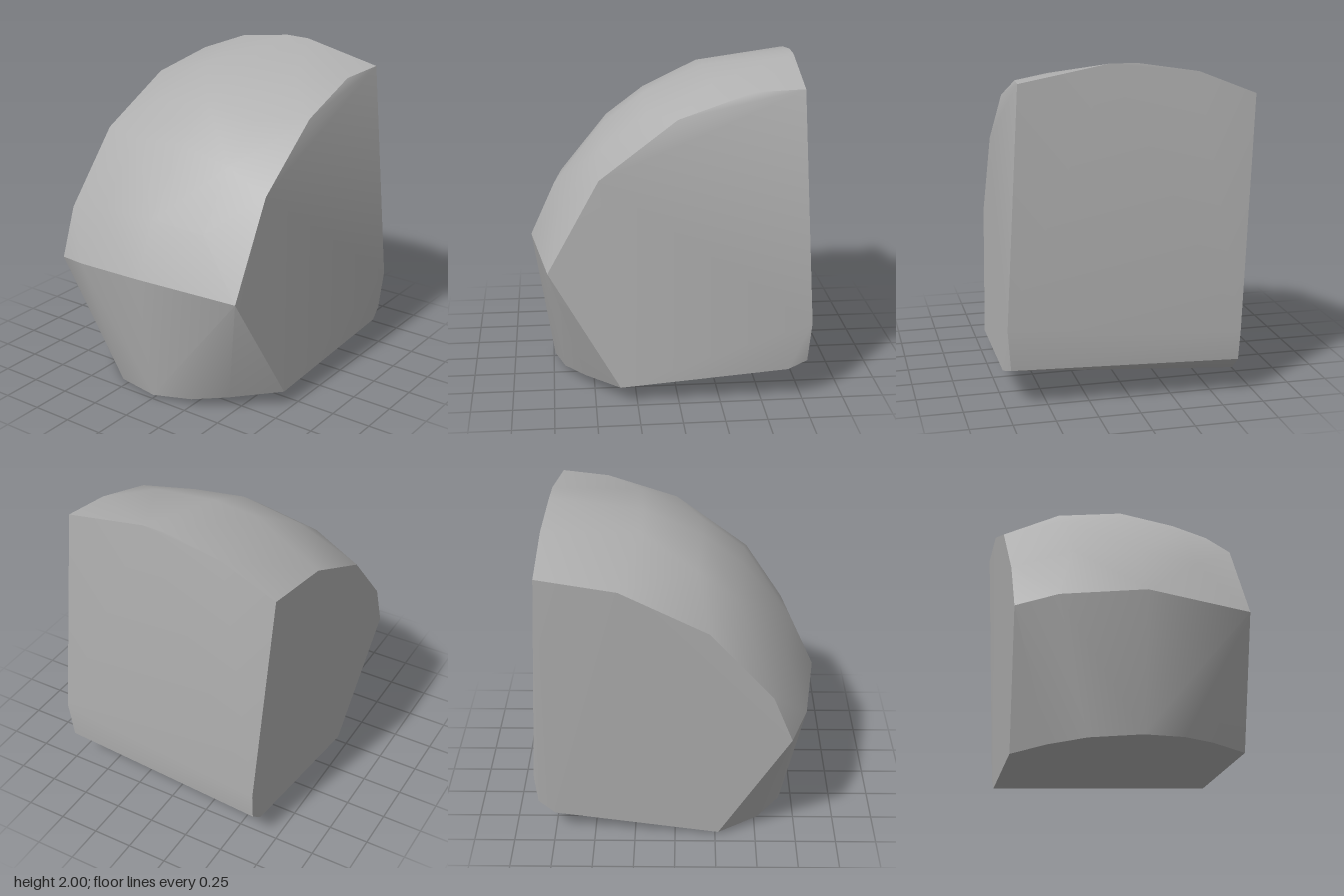
import * as THREE from 'three';
import { ConvexGeometry } from 'three/addons/geometries/ConvexGeometry.js';
import { toCreasedNormals } from 'three/addons/utils/BufferGeometryUtils.js';

const v = (p) => new THREE.Vector3(...p);

export function createModel() {
  const group = new THREE.Group();
  group.name = 'rock';
  const stone = new THREE.MeshStandardMaterial({ color: 0xb0b0b0 });
  stone.name = 'stone grey';

  // Outline of the flat +x side
  const rightSide = [
    [0.65, 1.9, -0.73], [0.615, 1.88, -0.44], [0.625, 1.73, 0], [0.632, 1.38, 0.46],
    [0.64, 0.82, 0.77], [0.71, 0.1, 0.35], [0.75, 0.2, -0.66], [0.74, 0.49, -0.8],
  ];
  // Outline of the flat -x side
  const leftSide = [
    [-0.73, 1.81, -0.79], [-0.748, 1.74, -0.32], [-0.757, 1.48, 0.2], [-0.75, 1.05, 0.58],
    [-0.74, 0.75, 0.7], [-0.68, 0.015, 0.27], [-0.64, 0.13, -0.75], [-0.645, 0.4, -0.87],
  ];
  // Domed crown running from the front ridge over to the top back edge
  const crown = [
    [0, 0.85, 0.87], [-0.5, 0.8, 0.8],
    [-0.4, 1.15, 0.67], [0, 1.18, 0.72], [0.35, 1.15, 0.68],
    [-0.4, 1.52, 0.37], [0, 1.56, 0.41], [0.35, 1.5, 0.43],
    [-0.4, 1.7, 0.13], [0, 1.75, 0.16], [0.35, 1.7, 0.16],
    [-0.28, 1.89, -0.2], [0, 1.915, -0.2], [0.38, 1.885, -0.22],
    [-0.39, 1.945, -0.775], [-0.03, 2, -0.755], [0.13, 2, -0.75],
  ];
  // Rounded front edge of the base and worn lower back edge
  const base = [
    [0.45, 0.07, 0.56], [0.25, 0.045, 0.68], [0, 0.02, 0.74], [-0.3, 0.003, 0.67], [-0.5, 0, 0.52],
    [0.72, 0.24, -0.78], [-0.64, 0.22, -0.85],
  ];

  const hull = new ConvexGeometry([...rightSide, ...leftSide, ...crown, ...base].map(v));
  const body = new THREE.Mesh(toCreasedNormals(hull, 0.5), stone);
  body.name = 'rockBody';
  group.add(body);
  return group;
}
